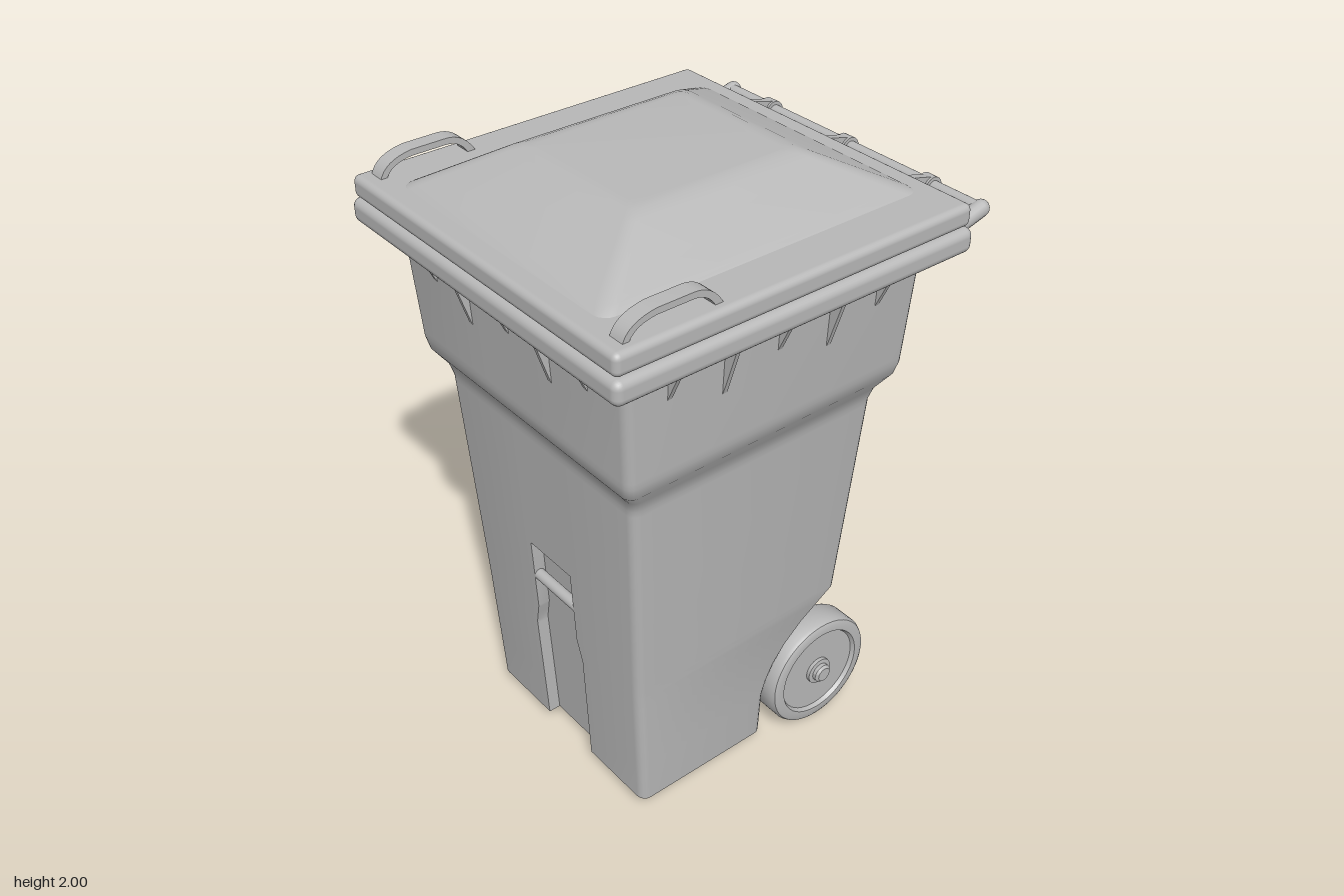
import * as THREE from 'three';
import { toCreasedNormals } from 'three/addons/utils/BufferGeometryUtils.js';
import { RoundedBoxGeometry } from 'three/addons/geometries/RoundedBoxGeometry.js';

const grey = new THREE.MeshStandardMaterial({ color: 0xb8b8b8 });
grey.name = 'grey plastic';

// Piecewise linear lookup in a list of [y, value]
function lerpTable(table, y) {
  if (y <= table[0][0]) return table[0][1];
  for (let i = 1; i < table.length; i++) {
    const [y0, v0] = table[i - 1], [y1, v1] = table[i];
    if (y <= y1) return v0 + (v1 - v0) * (y - y0) / (y1 - y0);
  }
  return table[table.length - 1][1];
}

// Skin over closed rings (counter-clockwise from above, going up), capped at both ends
function loft(rings, crease) {
  const pos = [];
  const tri = (a, b, c) => {
    const area = new THREE.Triangle(a, b, c).getArea();
    if (area > 1e-9) for (const p of [a, b, c]) pos.push(p.x, p.y, p.z);
  };
  const n = rings[0].length;
  for (let i = 0; i < rings.length - 1; i++) {
    for (let j = 0; j < n; j++) {
      const k = (j + 1) % n;
      const a = rings[i][j], b = rings[i][k], c = rings[i + 1][k], d = rings[i + 1][j];
      tri(a, b, c);
      tri(a, c, d);
    }
  }
  const cap = (ring, up) => {
    const faces = THREE.ShapeUtils.triangulateShape(ring.map(p => new THREE.Vector2(p.x, -p.z)), []);
    for (const [a, b, c] of faces) up ? tri(ring[a], ring[b], ring[c]) : tri(ring[a], ring[c], ring[b]);
  };
  cap(rings[0], false);
  cap(rings[rings.length - 1], true);
  const g = new THREE.BufferGeometry();
  g.setAttribute('position', new THREE.Float32BufferAttribute(pos, 3));
  return toCreasedNormals(g, crease);
}

// Quarter-round corner points, from angle a0 to a0 + 90 degrees (0 = front, 90 = +x)
function corner(cx, cz, r, a0, steps = 4) {
  return Array.from({ length: steps + 1 }, (_, i) => {
    const a = a0 + (Math.PI / 2) * i / steps;
    return [cx + r * Math.sin(a), cz + r * Math.cos(a)];
  });
}

const halfWidth = [[0.04, 0.385], [0.5, 0.4], [1.24, 0.443], [1.28, 0.455], [1.33, 0.488], [1.37, 0.498], [1.76, 0.52]];
const frontZ = [[0.04, 0.45], [1.24, 0.51], [1.28, 0.52], [1.33, 0.556], [1.37, 0.564], [1.76, 0.587]];
const backZ = [[0.04, -0.3], [0.52, -0.32], [1.24, -0.37], [1.28, -0.38], [1.33, -0.418], [1.37, -0.428], [1.76, -0.45]];
const wellZ = [[0.04, -0.04], [0.2, -0.045], [0.26, -0.062], [0.32, -0.09], [0.38, -0.135], [0.44, -0.2], [0.49, -0.275], [0.52, -0.32]];
const notchX = [[0.04, 0.115], [0.45, 0.12], [0.53, 0.1], [0.8, 0.1]];

// One body section: front notch, rounded corners, wheel wells either side of a rear spine
function bodyRing(y, notch) {
  const X = lerpTable(halfWidth, y), zf = lerpTable(frontZ, y), zb = lerpTable(backZ, y);
  const zs = y < 0.52 ? lerpTable(wellZ, y) : zb, nx = lerpTable(notchX, y), r = 0.03, s = 0.09;
  const half = [
    [nx, zf - notch], [nx, zf],
    ...corner(X - r, zf - r, r, 0), ...corner(X - r, zs + r, r, Math.PI / 2),
    [s, zs], [s, Math.min(zs, zb + 0.015)], [s - 0.015, zb],
  ];
  const mirror = half.map(([x, z]) => [-x, z]).reverse();
  return [...half, ...mirror].map(([x, z]) => new THREE.Vector3(x, y, z));
}

function rectRing(y, x, z0, z1, r) {
  const q = Math.PI / 2;
  return [...corner(x - r, z1 - r, r, 0), ...corner(x - r, z0 + r, r, q),
    ...corner(-x + r, z0 + r, r, 2 * q), ...corner(-x + r, z1 - r, r, 3 * q)]
    .map(([px, pz]) => new THREE.Vector3(px, y, pz));
}

export function createModel() {
  const model = new THREE.Group();
  model.name = 'wheeledBin';
  const add = (name, geometry, x = 0, y = 0, z = 0) => {
    const m = new THREE.Mesh(geometry, grey);
    m.name = name;
    m.position.set(x, y, z);
    model.add(m);
    return m;
  };
  const rodX = (name, r, x0, x1, y, z) => {
    const m = add(name, new THREE.CylinderGeometry(r, r, x1 - x0, 24), (x0 + x1) / 2, y, z);
    m.rotation.z = -Math.PI / 2;
    return m;
  };

  // Body
  const D = 0.04;
  const lower = [0.04, 0.2, 0.26, 0.32, 0.38, 0.44, 0.45, 0.49, 0.52, 0.53, 0.79].map(y => bodyRing(y, D));
  const upper = [0.79, 1.22, 1.24, 1.28, 1.33, 1.37, 1.39, 1.76].map(y => bodyRing(y, 0));
  add('body', loft([...lower, ...upper], 0.65));
  rodX('notchBar', 0.018, -0.1, 0.1, 0.655, 0.463);

  // Rim, lid and lid dome
  add('bodyRim', new RoundedBoxGeometry(1.22, 0.075, 1.215, 3, 0.025), 0, 1.767, 0.07);
  add('lid', new RoundedBoxGeometry(1.2, 0.068, 1.2, 3, 0.02), 0, 1.841, 0.07);
  add('lidDome', loft([
    rectRing(1.865, 0.47, -0.485, 0.61, 0.04),
    rectRing(1.878, 0.455, -0.465, 0.595, 0.04),
    rectRing(1.89, 0.435, -0.44, 0.57, 0.04),
    rectRing(1.985, 0.28, -0.25, 0.375, 0.03),
    rectRing(1.997, 0.25, -0.22, 0.345, 0.03),
    rectRing(2.0, 0.225, -0.195, 0.32, 0.03),
  ], 1.2));

  // Arched grips at the front corners of the lid
  const arch = new THREE.Shape();
  arch.moveTo(0.315, 1.87);
  arch.quadraticCurveTo(0.35, 1.935, 0.41, 1.935);
  arch.lineTo(0.52, 1.935);
  arch.quadraticCurveTo(0.61, 1.925, 0.625, 1.87);
  arch.lineTo(0.605, 1.87);
  arch.quadraticCurveTo(0.59, 1.91, 0.52, 1.916);
  arch.lineTo(0.41, 1.916);
  arch.quadraticCurveTo(0.365, 1.916, 0.34, 1.87);
  const archGeo = toCreasedNormals(new THREE.ExtrudeGeometry(arch, { depth: 0.05, bevelEnabled: false, curveSegments: 8 }), 0.6);
  archGeo.translate(0, 0, -0.025).rotateY(-Math.PI / 2);
  for (const s of [-1, 1]) add('lidGrip', archGeo, s * 0.542, 0, 0);

  // Tapered ribs under the rim
  const rib = (length) => {
    const sh = new THREE.Shape();
    sh.moveTo(-0.02, 0);
    sh.lineTo(0.055, 0);
    sh.lineTo(-0.004, -length);
    sh.lineTo(-0.02, -length);
    return new THREE.ExtrudeGeometry(sh, { depth: 0.014, bevelEnabled: false }).translate(0, 0, -0.007);
  };
  const longRib = rib(0.18), shortRib = rib(0.125);
  [-0.35, -0.185, 0, 0.185, 0.35].forEach((x, i) => {
    add('frontRib', i % 2 ? longRib : shortRib, x, 1.735, 0.58).rotation.y = -Math.PI / 2;
  });
  [0.44, 0.257, 0.072, -0.107, -0.28].forEach((z, i) => {
    for (const s of [-1, 1]) {
      add('sideRib', i % 2 ? longRib : shortRib, s * 0.514, 1.735, z).rotation.y = s > 0 ? 0 : Math.PI;
    }
  });

  // Rear handle with end arms and hinge straps
  const barY = 1.79, barZ = -0.643;
  rodX('handleBar', 0.022, -0.53, 0.53, barY, barZ);
  for (const s of [-1, 1]) {
    const arm = add('handleArm', new THREE.CapsuleGeometry(0.026, 0.15, 6, 16), s * 0.523, 1.772, -0.58);
    arm.rotation.x = -Math.PI / 2 + 0.25;
  }
  for (const x of [-0.335, 0, 0.335]) {
    rodX('hingeRing', 0.033, x - 0.02, x + 0.02, barY, barZ);
    const strap = add('hingeStrap', new THREE.BoxGeometry(0.025, 0.025, 0.14), x, 1.826, -0.575);
    strap.rotation.x = -0.25;
  }

  // Wheels on a rear axle
  const axleY = 0.203, axleZ = -0.25;
  const profile = [[0, -0.04], [0.15, -0.04], [0.157, -0.055], [0.182, -0.055], [0.192, -0.05], [0.198, -0.038],
    [0.198, 0.038], [0.192, 0.05], [0.182, 0.055], [0.157, 0.055], [0.15, 0.042], [0.046, 0.042],
    [0.046, 0.054], [0.032, 0.056], [0.032, 0.068], [0.024, 0.076], [0, 0.076]];
  const wheelGeo = toCreasedNormals(
    new THREE.LatheGeometry(profile.map(p => new THREE.Vector2(...p)), 48).toNonIndexed(), 0.5);
  rodX('axle', 0.026, -0.36, 0.36, axleY, axleZ);
  for (const s of [-1, 1]) {
    add('wheel', wheelGeo, s * 0.372, axleY, axleZ).rotation.z = -s * Math.PI / 2;
    const c = s * 0.11, h = s * 0.32;
    rodX('axleCollar', 0.042, c - 0.02, c + 0.02, axleY, axleZ);
    rodX('wheelHub', 0.05, h - 0.02, h + 0.02, axleY, axleZ);
  }

  // Front feet
  for (const s of [-1, 1]) {
    add('foot', new RoundedBoxGeometry(0.155, 0.05, 0.065, 3, 0.015), s * 0.257, 0.031, 0.392);
  }
  return model;
}
